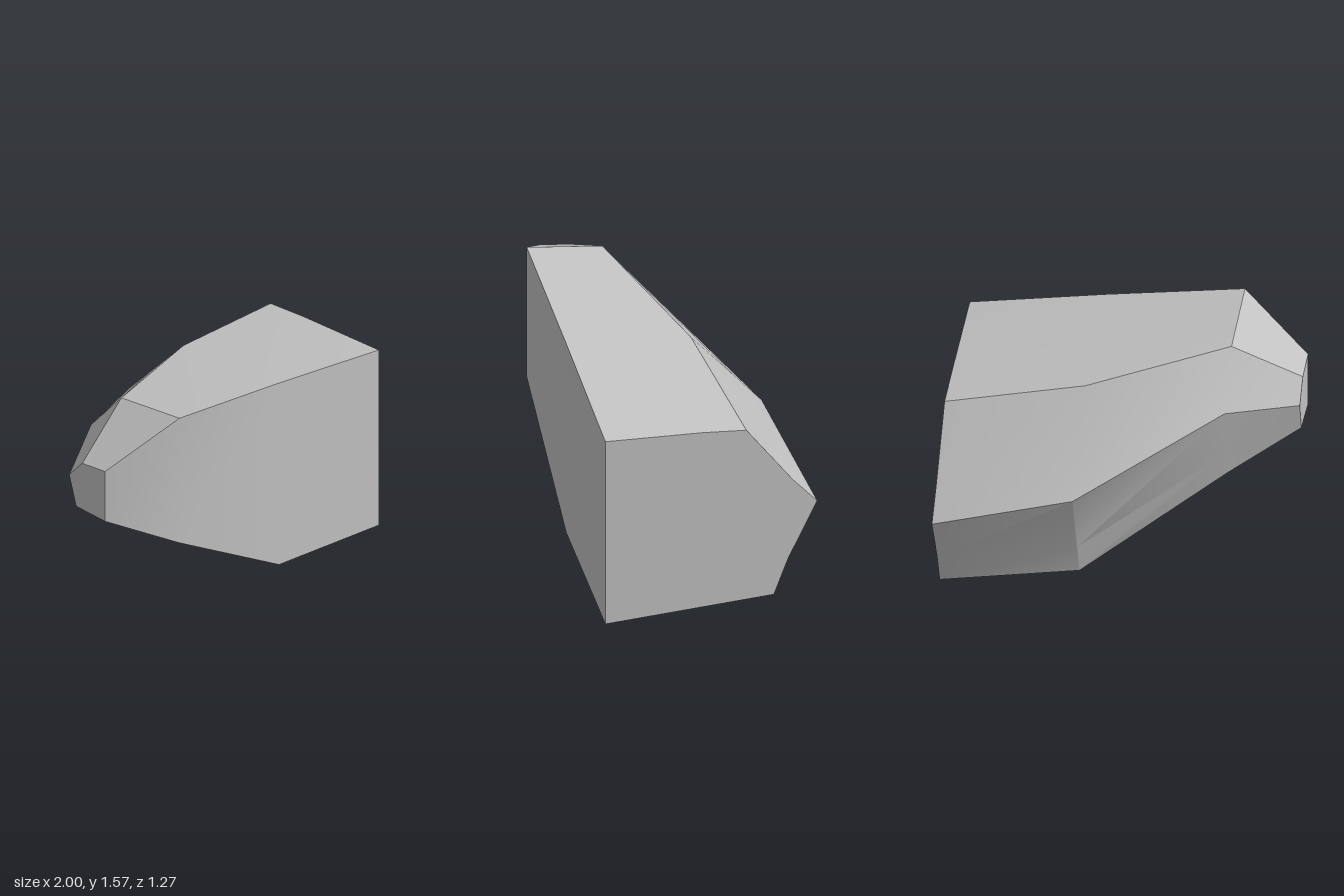
import * as THREE from 'three';
import { toCreasedNormals } from 'three/addons/utils/BufferGeometryUtils.js';

// Cross-sections along x; corners as [y, z]:
// front bottom, front top, top ridge, back ridge, back bottom
const SECTIONS = [
  { x: -1, p: [[0.95, 0.375], [1.3, 0.375], [1.27, 0.197], [1.14, 0.095], [0.945, 0.148]] },
  { x: -0.6, p: [[0.69, 0.58], [1.565, 0.58], [1.485, 0.127], [1.18, -0.11], [0.685, 0]] },
  { x: 0.2, p: [[0.13, 0.607], [1.405, 0.607], [1.3, -0.14], [0.79, -0.565], [0.13, -0.327]] },
  { x: 1, p: [[0, 0.635], [1.23, 0.635], [1.14, -0.21], [0.58, -0.635], [0, -0.375]] },
];
// Slight bends in the edges of the wide end, between consecutive corners
const BENDS = { 1: [1.175, 0.05], 2: [0.75, -0.49], 3: [0.225, -0.46] };

// Adds one in-between point on each upper and back edge
function ring({ x, p }) {
  const out = [];
  p.forEach(([y, z], i) => {
    out.push([x, y, z]);
    if (!BENDS[i]) return;
    const [y2, z2] = p[i + 1];
    const t = 0.66;
    const [my, mz] = x === 1 ? BENDS[i] : [y + (y2 - y) * t, z + (z2 - z) * t];
    out.push([x, my, mz]);
  });
  return out;
}

function bodyGeometry() {
  const rings = SECTIONS.map(ring);
  const n = rings[0].length;
  const index = [];
  // Skin between neighbouring sections
  for (let s = 0; s < rings.length - 1; s++) {
    for (let j = 0; j < n; j++) {
      const k = (j + 1) % n;
      const a = s * n, b = a + n;
      index.push(a + j, b + j, b + k, a + j, b + k, a + k);
    }
  }
  // Flat ends
  const last = (rings.length - 1) * n;
  for (let j = 1; j < n - 1; j++) {
    index.push(0, j, j + 1);
    index.push(last, last + j + 1, last + j);
  }
  const geo = new THREE.BufferGeometry();
  geo.setAttribute('position', new THREE.Float32BufferAttribute(rings.flat(2), 3));
  geo.setIndex(index);
  return toCreasedNormals(geo, THREE.MathUtils.degToRad(25.5));
}

export function createModel() {
  const group = new THREE.Group();
  group.name = 'facetedBlock';
  const grey = new THREE.MeshStandardMaterial({ color: 0xc0c0c0 });
  grey.name = 'light grey';
  const body = new THREE.Mesh(bodyGeometry(), grey);
  body.name = 'body';
  group.add(body);
  return group;
}
